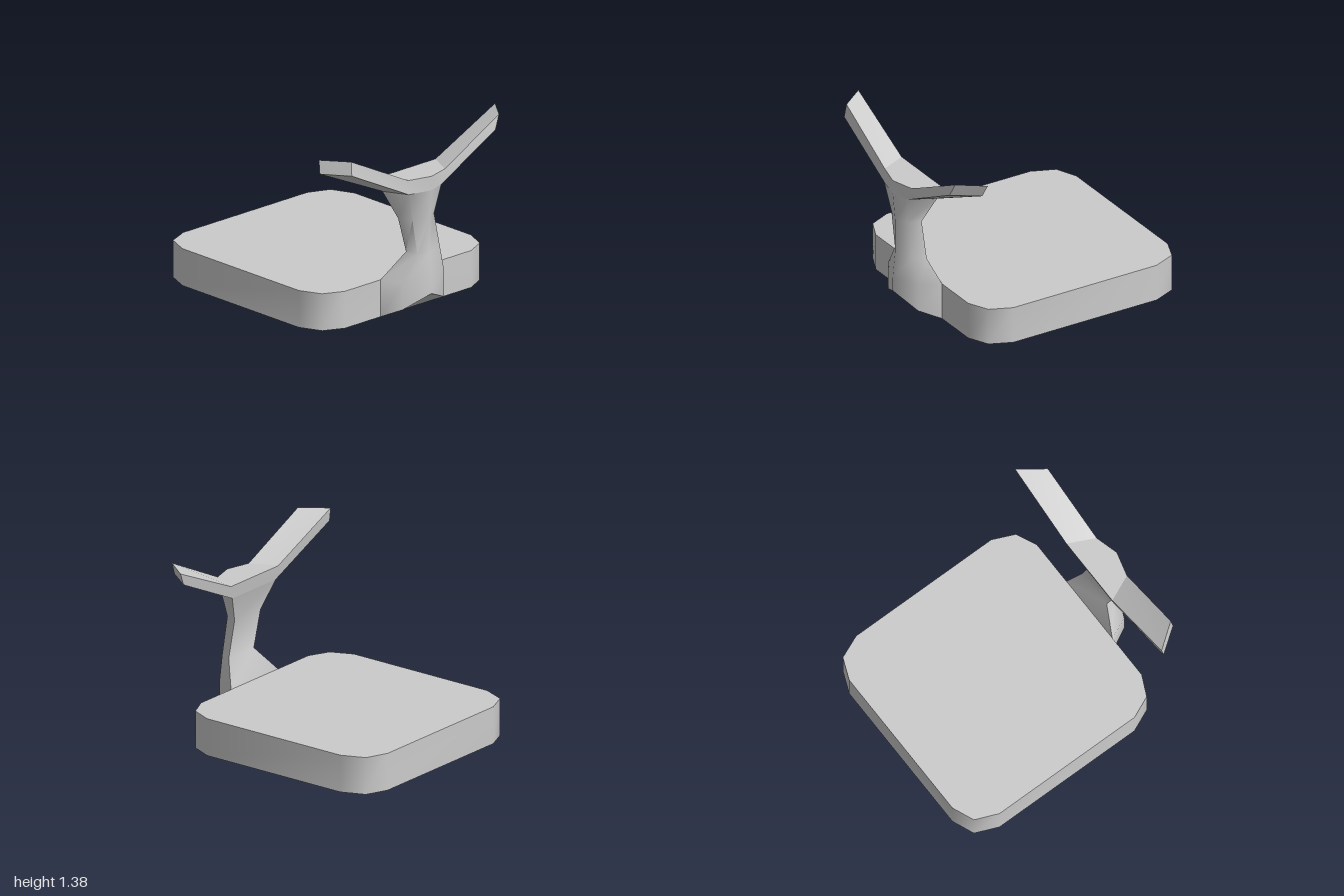
import * as THREE from 'three';
import { toCreasedNormals } from 'three/addons/utils/BufferGeometryUtils.js';

const material = new THREE.MeshStandardMaterial({ color: 0xcccccc });

function buildMesh(name, points, index, crease) {
  const geometry = new THREE.BufferGeometry();
  geometry.setAttribute('position', new THREE.Float32BufferAttribute(points.flat(), 3));
  geometry.setIndex(index);
  const mesh = new THREE.Mesh(toCreasedNormals(geometry, crease), material);
  mesh.name = name;
  return mesh;
}

// Triangle fan over one ring of n points starting at vertex "start"
function fan(start, n, flip) {
  const index = [];
  for (let i = 1; i < n - 1; i++) {
    index.push(start, start + (flip ? i + 1 : i), start + (flip ? i : i + 1));
  }
  return index;
}

// Skin joining successive closed rings, with optional end caps
function loft(name, rings, crease, capped) {
  const n = rings[0].length;
  const index = [];
  for (let r = 0; r < rings.length - 1; r++) {
    for (let i = 0; i < n; i++) {
      const a = r * n + i, b = r * n + (i + 1) % n;
      index.push(a, b, b + n, a, b + n, a + n);
    }
  }
  if (capped) index.push(...fan(0, n, true), ...fan((rings.length - 1) * n, n, false));
  return buildMesh(name, rings.flat(), index, crease);
}

export function createModel() {
  const model = new THREE.Group();
  model.name = 'seatWithHandlebar';

  // Thick base slab with two-step clipped corners
  const right = [[0.63, -1], [0.8, -0.93], [0.875, -0.75], [0.875, 0.5], [0.8, 0.67], [0.64, 0.745]];
  const outline = [...right, ...right.map(([x, z]) => [-x, z]).reverse()].reverse();
  const slabRing = y => outline.map(([x, z]) => [x, y, z]);
  model.add(loft('baseSlab', [slabRing(0), slabRing(0.29)], 1.0, true));

  // Waisted post: five-sided rings, pointed at the front and flat at the back
  // [y, back -x, back +x, mid -x, mid +x, back z, mid z, front z]
  const postRings = [
    [0, -0.28, 0.28, -0.21, 0.21, 0.745, 0.91, 1.0],
    [0.29, -0.28, 0.28, -0.21, 0.21, 0.745, 0.91, 1.0],
    [0.49, -0.1, 0.2, -0.08, 0.15, 0.83, 0.93, 0.98],
    [0.77, -0.18, 0.13, -0.13, 0.09, 0.83, 0.93, 0.98],
    [0.99, -0.28, 0.24, -0.19, 0.14, 0.765, 0.955, 1.0],
  ].map(([y, bl, br, ml, mr, zb, zm, zf]) =>
    [[0, y, zf], [mr, y, zm], [br, y, zb], [bl, y, zb], [ml, y, zm]]);
  // The foot rises towards the front
  postRings[0][0][1] = 0.18;
  postRings[0][1][1] = postRings[0][4][1] = 0.08;
  model.add(loft('post', postRings, 0.95, false));
  model.add(buildMesh('postUnderside', postRings[0], fan(0, 5, true), 0.9));

  // V-shaped bar, swept from -x tip to +x tip
  // each ring: back top, front top, front bottom, back bottom
  const barRings = [
    [[-0.895, 1.38, 0.735], [-0.75, 1.38, 0.93], [-0.76, 1.275, 0.945], [-0.9, 1.275, 0.75]],
    [[-0.28, 1.1, 0.745], [-0.19, 1.1, 0.95], [-0.19, 0.99, 0.955], [-0.28, 0.99, 0.765]],
    [[0, 1.1, 0.745], [0, 1.1, 1.0], [0, 0.99, 1.0], [0, 0.99, 0.765]],
    [[0.28, 1.1, 0.745], [0.18, 1.1, 0.95], [0.14, 0.99, 0.955], [0.24, 0.99, 0.765]],
    [[0.895, 1.38, 0.735], [0.75, 1.38, 0.93], [0.7, 1.275, 0.945], [0.84, 1.275, 0.75]],
  ];
  model.add(loft('handlebar', barRings, 0.43, true));

  return model;
}
